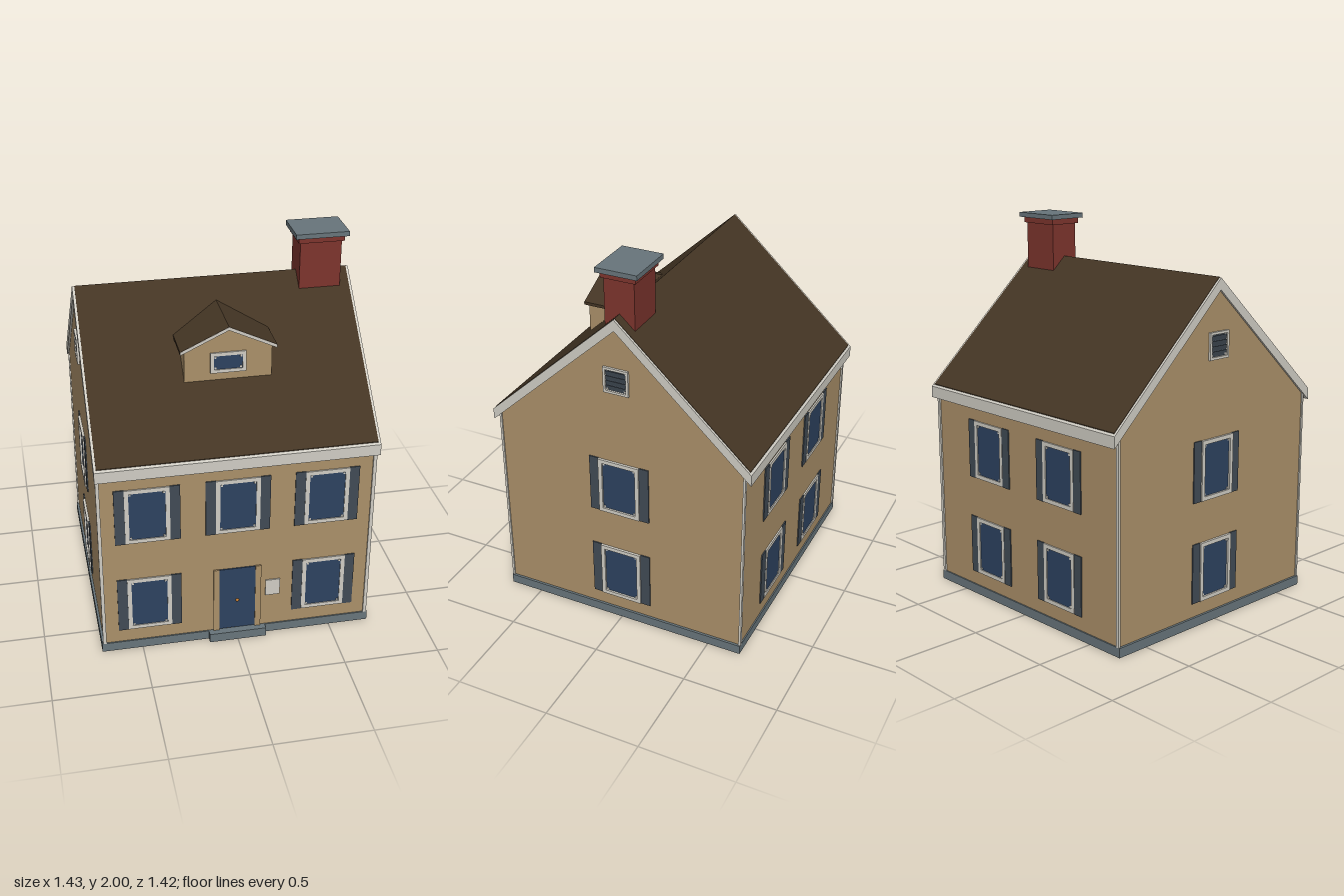
import * as THREE from 'three';

const mat = (name, color) => {
  const m = new THREE.MeshStandardMaterial({ color });
  m.name = name;
  return m;
};

export function createModel() {
  const house = new THREE.Group();
  house.name = 'house';
  const wall = mat('tan siding', 0xab9069);
  const trim = mat('off-white trim', 0xd0cdc4);
  const shingle = mat('brown shingles', 0x443524);
  const glass = mat('dark blue', 0x2d4260);
  const slate = mat('shutter grey', 0x414b55);
  const stone = mat('blue-grey stone', 0x68757b);
  const brick = mat('red brick', 0x7d342d);
  const brass = mat('brass', 0xc07a30);

  const add = (parent, name, geometry, material) => {
    const m = new THREE.Mesh(geometry, material);
    m.name = name;
    parent.add(m);
    return m;
  };
  // Box given by its extents
  const box = (parent, name, material, x0, x1, y0, y1, z0, z1) => {
    const m = add(parent, name, new THREE.BoxGeometry(x1 - x0, y1 - y0, z1 - z0), material);
    m.position.set((x0 + x1) / 2, (y0 + y1) / 2, (z0 + z1) / 2);
    return m;
  };
  const shapeOf = (pts) => new THREE.Shape(pts.map(([x, y]) => new THREE.Vector2(x, y)));
  const extrude = (shape, depth) =>
    new THREE.ExtrudeGeometry(shape, { depth, bevelEnabled: false });
  // Profile in (z, y), extruded along x and centred
  const alongX = (pts, width) =>
    extrude(shapeOf(pts), width).translate(0, 0, -width / 2).rotateY(-Math.PI / 2);
  // Inverted V with plumb-cut ends
  const chevron = (half, peak, eave, t) => [
    [-half, eave - t], [0, peak - t], [half, eave - t], [half, eave], [0, peak], [-half, eave],
  ];
  const gable = (half, bottom, eave, peak) => [
    [-half, bottom], [half, bottom], [half, eave], [0, peak], [-half, eave],
  ];
  const frameRing = (w, h, border, depth) => {
    const rect = (a, b) => [[-a, -b], [a, -b], [a, b], [-a, b]];
    const s = shapeOf(rect(w / 2, h / 2));
    s.holes.push(shapeOf(rect(w / 2 - border, h / 2 - border)));
    return extrude(s, depth);
  };

  // Base and walls; the underside is a darker slab
  const base = add(house, 'foundation', new THREE.BoxGeometry(1.425, 0.05, 1.36),
    [stone, stone, stone, slate, stone, stone]);
  base.position.y = 0.025;
  box(house, 'frontStep', stone, -0.15, 0.15, 0, 0.05, 0.68, 0.712);
  add(house, 'walls', alongX(gable(0.673, 0.05, 1.09, 1.73), 1.4), wall);
  for (const sx of [-1, 1]) for (const sz of [-1, 1]) {
    const post = add(house, 'cornerBoard', new THREE.BoxGeometry(0.018, 1.04, 0.012), trim);
    post.position.set(sx * 0.698, 0.57, sz * 0.675);
  }

  // Main roof: trim boards with the shingles laid just proud of them
  add(house, 'roofTrim', alongX(chevron(0.712, 1.769, 1.108, 0.06), 1.425), trim);
  add(house, 'roof', alongX(chevron(0.702, 1.772, 1.121, 0.02), 1.4), shingle);

  // Small blocks in the corners of a framed opening
  const cornerBlocks = (g, gw, gh) => {
    for (const sx of [-1, 1]) for (const sy of [-1, 1]) {
      const c = add(g, 'cornerBlock', new THREE.BoxGeometry(0.01, 0.01, 0.004), trim);
      c.position.set(sx * (gw - 0.008), sy * (gh - 0.008), 0.004);
    }
  };
  // Framed pane facing +z
  const pane = (g, w, h, border, depth) => {
    add(g, 'windowFrame', frameRing(w, h, border, depth), trim);
    const gw = w / 2 - border, gh = h / 2 - border;
    box(g, 'windowGlass', glass, -gw, gw, -gh, gh, 0, 0.003);
    cornerBlocks(g, gw, gh);
  };
  const shutteredWindow = (depth) => {
    const g = new THREE.Group();
    g.name = 'window';
    pane(g, 0.226, 0.312, 0.021, depth);
    for (const s of [-1, 1]) {
      const sh = add(g, 'shutter', new THREE.BoxGeometry(0.052, 0.316, 0.006), slate);
      sh.position.set(s * 0.139, 0, 0.003);
    }
    return g;
  };
  const vent = () => {
    const g = new THREE.Group();
    g.name = 'gableVent';
    add(g, 'ventFrame', frameRing(0.136, 0.138, 0.013, 0.012), trim);
    box(g, 'ventBack', slate, -0.055, 0.055, -0.056, 0.056, 0, 0.002);
    for (let i = 0; i < 4; i++) {
      const slat = add(g, 'ventSlat', new THREE.BoxGeometry(0.11, 0.022, 0.002), slate);
      slat.position.set(0, -0.039 + i * 0.026, 0.005);
      slat.rotation.x = 0.2;
    }
    cornerBlocks(g, 0.055, 0.056);
    return g;
  };
  // Mount on a wall; u runs across the wall
  const sides = { front: [0, 0.673], left: [Math.PI / 2, 0.7], back: [Math.PI, 0.673], right: [-Math.PI / 2, 0.7] };
  const mount = (item, side, u, y) => {
    const holder = new THREE.Group();
    holder.name = side + 'Wall' + item.name;
    item.position.set(u, y, sides[side][1]);
    holder.rotation.y = sides[side][0];
    holder.add(item);
    house.add(holder);
  };
  const rows = [0.282, 0.815];
  for (const y of rows) {
    for (const u of [-0.457, 0.457]) mount(shutteredWindow(0.008), 'front', u, y);
    for (const u of [-0.274, 0.274]) mount(shutteredWindow(0.008), 'back', u, y);
    for (const side of ['left', 'right']) mount(shutteredWindow(0.013), side, 0, y);
  }
  mount(shutteredWindow(0.008), 'front', 0, rows[1]);
  for (const side of ['left', 'right']) mount(vent(), side, 0, 1.437);

  // Front door and plaque
  for (const s of [-1, 1]) {
    const jamb = add(house, 'doorJamb', new THREE.BoxGeometry(0.03, 0.385, 0.01), wall);
    jamb.position.set(s * 0.11, 0.2425, 0.677);
  }
  box(house, 'door', glass, -0.095, 0.095, 0.055, 0.433, 0.67, 0.679);
  const knob = add(house, 'doorKnob', new THREE.SphereGeometry(0.009, 12, 8), brass);
  knob.position.set(0, 0.232, 0.68);
  box(house, 'wallPlaque', trim, 0.15, 0.226, 0.24, 0.335, 0.67, 0.68);

  // Dormer
  const dormer = new THREE.Group();
  dormer.name = 'dormer';
  house.add(dormer);
  add(dormer, 'dormerWalls', extrude(shapeOf(gable(0.22, 1.39, 1.56, 1.666)), 0.36), wall).position.z = 0.05;
  add(dormer, 'dormerRoof', extrude(shapeOf(chevron(0.242, 1.68, 1.565, 0.016)), 0.376), shingle).position.z = 0.05;
  add(dormer, 'dormerTrim', extrude(shapeOf(chevron(0.242, 1.679, 1.564, 0.017)), 0.001), trim).position.z = 0.426;
  const dormerWindow = new THREE.Group();
  dormerWindow.name = 'dormerWindow';
  pane(dormerWindow, 0.18, 0.11, 0.018, 0.008);
  dormerWindow.position.set(0, 1.486, 0.41);
  dormer.add(dormerWindow);

  // Chimney
  box(house, 'chimney', brick, 0.435, 0.65, 1.6, 1.945, -0.08, 0.08);
  box(house, 'chimneyCorbel', brick, 0.424, 0.661, 1.945, 1.975, -0.092, 0.092);
  box(house, 'chimneyCap', stone, 0.405, 0.68, 1.975, 2, -0.11, 0.11);

  return house;
}
